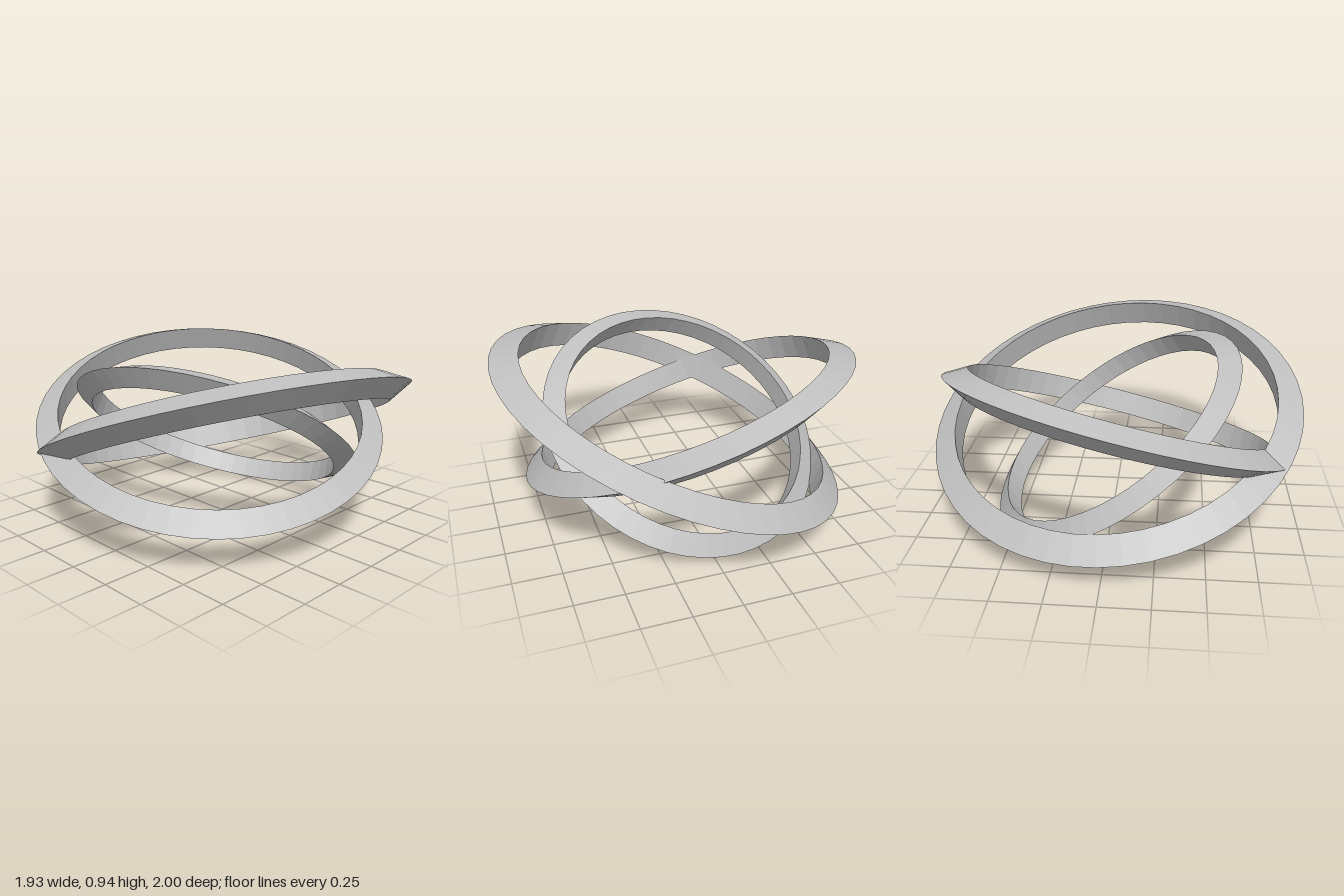
import * as THREE from 'three';

export function createModel() {
  const model = new THREE.Group();
  const grey = new THREE.MeshStandardMaterial({ color: 0xc0c0c0, flatShading: true });
  grey.name = 'grey';

  // Three interlocking tilted rings with a triangular section: sharp outer ridge, flat inner wall
  const rings = [
    { name: 'outerRing', radius: 0.92, tube: 0.087, center: [0.025, 0.53, 0], axis: [-0.375, 0.92, -0.11] },
    { name: 'middleRing', radius: 0.86, tube: 0.08, center: [-0.07, 0.545, 0.015], axis: [0.288, 0.93, 0.228] },
    { name: 'innerRing', radius: 0.718, tube: 0.07, center: [-0.055, 0.462, 0], axis: [-0.18, 0.812, -0.556] },
  ];

  for (const { name, radius, tube, center, axis } of rings) {
    const ring = new THREE.Mesh(new THREE.TorusGeometry(radius, tube, 3, 50), grey);
    ring.name = name;
    ring.position.set(...center);
    // Turn the ring's own axis (z) onto its tilted axis
    ring.quaternion.setFromUnitVectors(
      new THREE.Vector3(0, 0, 1),
      new THREE.Vector3(...axis).normalize()
    );
    model.add(ring);
  }
  return model;
}
